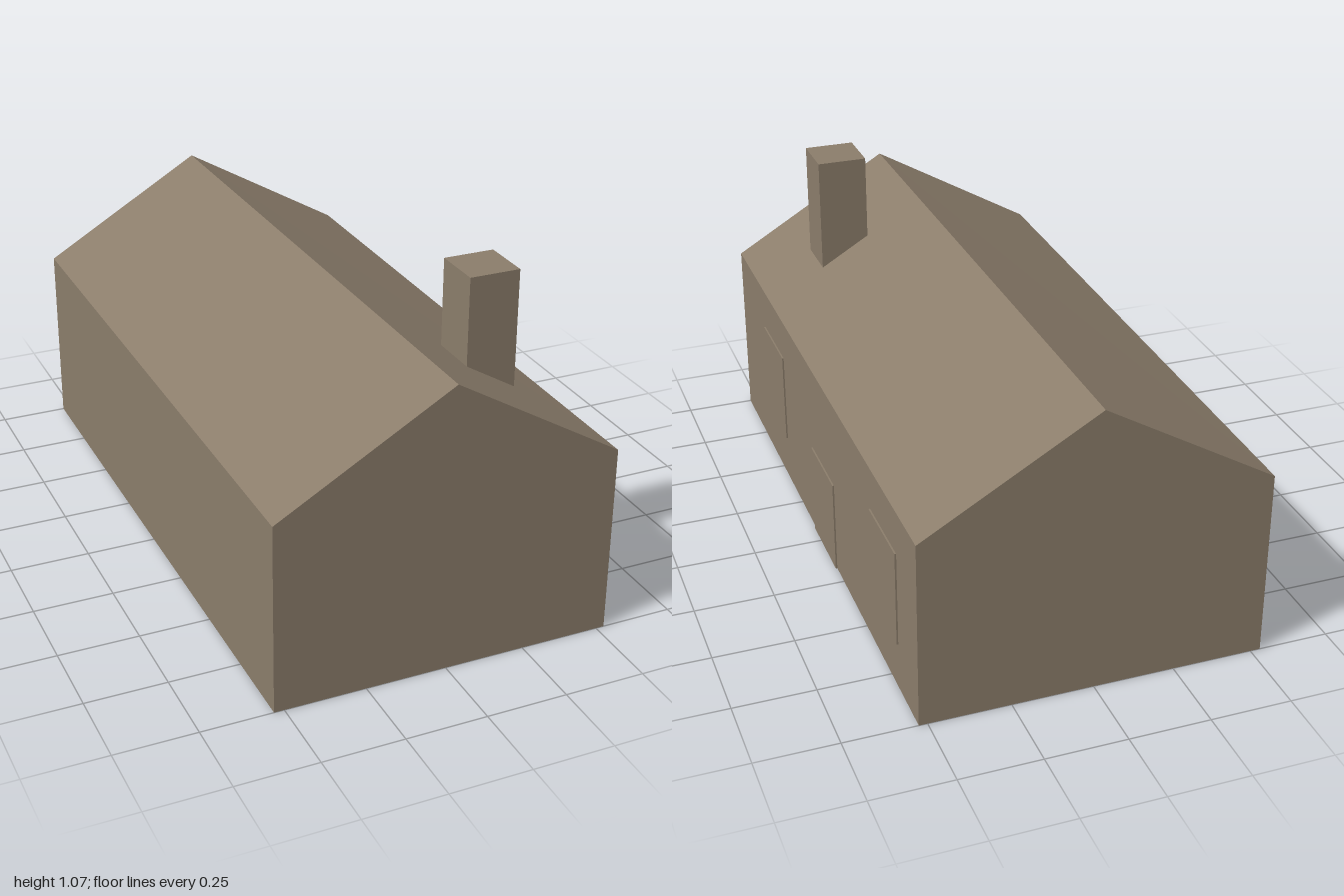
import * as THREE from 'three';

export function createModel() {
  const group = new THREE.Group();
  const clay = new THREE.MeshStandardMaterial({ color: 0x8b7d6b });
  clay.name = 'warm grey brown';

  const add = (name, geometry, x = 0, y = 0, z = 0) => {
    const mesh = new THREE.Mesh(geometry, clay);
    mesh.name = name;
    mesh.position.set(x, y, z);
    group.add(mesh);
  };

  // House body: gabled cross-section extruded along z
  const left = -0.531, right = 0.526, eave = 0.593, ridge = 0.902;
  const gable = new THREE.Shape([
    new THREE.Vector2(left, 0),
    new THREE.Vector2(right, 0),
    new THREE.Vector2(right, eave),
    new THREE.Vector2(0, ridge),
    new THREE.Vector2(left, eave),
  ]);
  const body = new THREE.ExtrudeGeometry(gable, { depth: 2, bevelEnabled: false });
  body.translate(0, 0, -1);
  // The ridge runs very slightly askew
  const p = body.attributes.position;
  for (let i = 0; i < p.count; i++) {
    if (p.getY(i) > eave + 0.1) p.setX(i, 0.006 * p.getZ(i));
  }
  body.computeVertexNormals();
  add('houseBody', body);

  // Chimney, sunk into the roof slope
  const chimneyTop = 1.067, chimneyBase = 0.66;
  add('chimney', new THREE.BoxGeometry(0.158, chimneyTop - chimneyBase, 0.158),
    0.265, (chimneyTop + chimneyBase) / 2, 0.637);

  // Door and windows: thin plates on the +x wall
  const plates = [
    ['frontWindow', 0.545, 0.153, 0.457],
    ['door', -0.048, 0, 0.304],
    ['backWindow', -0.697, 0.153, 0.457],
  ];
  for (const [name, z, bottom, top] of plates) {
    add(name, new THREE.BoxGeometry(0.008, top - bottom, 0.248),
      right + 0.001, (bottom + top) / 2, z);
  }

  return group;
}
